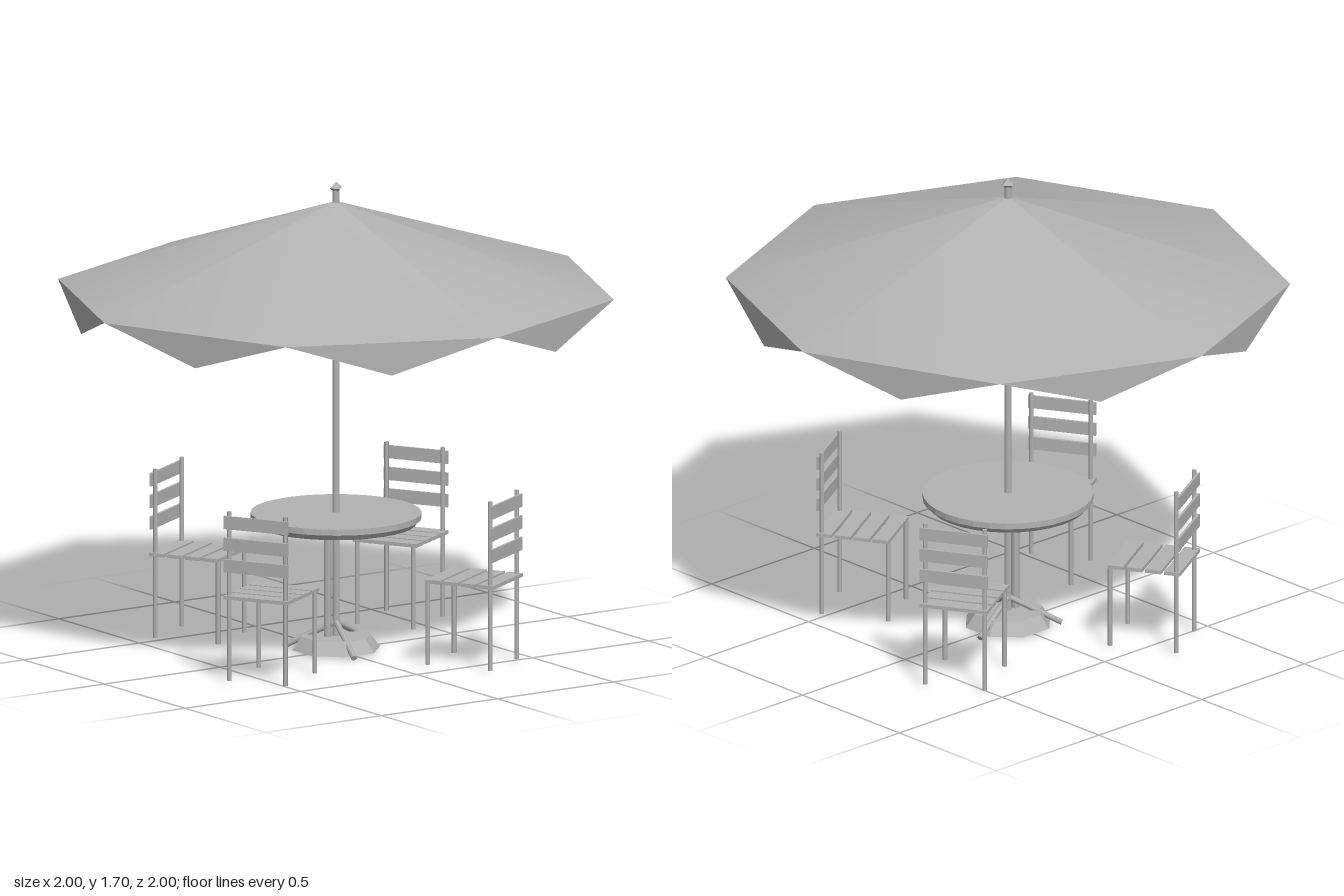
import * as THREE from 'three';

const grey = new THREE.MeshStandardMaterial({ color: 0xb3b3b3 });
grey.name = 'light grey';
const greyCloth = new THREE.MeshStandardMaterial({ color: 0xb3b3b3, side: THREE.DoubleSide });
greyCloth.name = 'light grey cloth';

function add(parent, name, geometry, x = 0, y = 0, z = 0, material = grey) {
  const mesh = new THREE.Mesh(geometry, material);
  mesh.name = name;
  mesh.position.set(x, y, z);
  parent.add(mesh);
  return mesh;
}

function flat(geometry) {
  const g = geometry.toNonIndexed();
  g.computeVertexNormals();
  return g;
}

// Straight tube between two points
function bar(parent, name, from, to, radius, sides = 6) {
  const dir = to.clone().sub(from);
  const mesh = add(parent, name, new THREE.CylinderGeometry(radius, radius, dir.length(), sides));
  mesh.position.copy(from).addScaledVector(dir, 0.5);
  mesh.quaternion.setFromUnitVectors(new THREE.Vector3(0, 1, 0), dir.normalize());
  return mesh;
}

const polar = (r, angle, y) => new THREE.Vector3(r * Math.cos(angle), y, r * Math.sin(angle));

function createUmbrella() {
  const g = new THREE.Group();
  g.name = 'umbrella';
  // Eight-sided canopy with corners on the axes
  add(g, 'canopy', new THREE.ConeGeometry(1, 0.32, 8, 1, true), 0, 1.47, 0, greyCloth);

  const valance = [];
  for (let i = 0; i < 8; i++) {
    const a = (i * Math.PI) / 4;
    const p = polar(1, a, 1.31);
    const q = polar(1, a + Math.PI / 4, 1.31);
    const tip = p.clone().lerp(q, 0.5).setY(1.19);
    valance.push(...p.toArray(), ...q.toArray(), ...tip.toArray());
    bar(g, 'rib', new THREE.Vector3(0, 1.624, 0), polar(0.99, a, 1.309), 0.004, 4);
  }
  // Hanging triangular flaps
  const flaps = new THREE.BufferGeometry();
  flaps.setAttribute('position', new THREE.Float32BufferAttribute(valance, 3));
  flaps.computeVertexNormals();
  add(g, 'valance', flaps, 0, 0, 0, greyCloth);

  add(g, 'pole', new THREE.CylinderGeometry(0.013, 0.013, 1.62, 8), 0, 0.86, 0);
  const finial = add(g, 'finial', new THREE.OctahedronGeometry(0.025), 0, 1.678, 0);
  finial.scale.set(1.05, 0.9, 1.05);

  // Weighted foot
  add(g, 'base', flat(new THREE.CylinderGeometry(0.125, 0.16, 0.047, 8, 1, false, Math.PI / 8)), 0, 0.034, 0);
  return g;
}

function createTable() {
  const g = new THREE.Group();
  g.name = 'table';
  // Top disc with a narrower lip and recessed underside
  add(g, 'tableTop', flat(new THREE.CylinderGeometry(0.303, 0.303, 0.022, 32)), 0, 0.493, 0);
  const lip = [[0.27, 0.482], [0.27, 0.462], [0.283, 0.462], [0.298, 0.482]]
    .map(([r, y]) => new THREE.Vector2(r, y));
  add(g, 'tableLip', flat(new THREE.LatheGeometry(lip, 32)), 0, 0, 0, greyCloth);

  add(g, 'pedestal', new THREE.CylinderGeometry(0.014, 0.014, 0.43, 8), -0.036, 0.267, 0);
  // Three splayed feet
  for (let i = 0; i < 3; i++) {
    const a = -Math.PI / 12 + (i * Math.PI * 2) / 3;
    bar(g, 'tripodFoot', polar(0, a, 0.108), polar(0.19, a, 0.012), 0.011);
  }
  return g;
}

// Chair faces the table, backrest on the outside (+z before turning)
function createChair() {
  const g = new THREE.Group();
  g.name = 'chair';
  for (const x of [-0.11, 0.11]) {
    add(g, 'frontLeg', new THREE.CylinderGeometry(0.0085, 0.0085, 0.297, 8), x, 0.1585, 0.41);
    add(g, 'backPost', new THREE.CylinderGeometry(0.0085, 0.0085, 0.612, 8), x, 0.316, 0.655);
  }
  for (let i = 0; i < 4; i++) {
    add(g, 'seatSlat', new THREE.BoxGeometry(0.25, 0.013, 0.058), 0, 0.313, 0.434 + i * 0.07);
  }
  for (const y of [0.427, 0.505, 0.584]) {
    add(g, 'backSlat', new THREE.BoxGeometry(0.25, 0.047, 0.009), 0, y, 0.667);
  }
  return g;
}

export function createModel() {
  const model = new THREE.Group();
  model.name = 'patioSet';
  model.add(createUmbrella(), createTable());
  for (let i = 0; i < 4; i++) {
    const chair = createChair();
    chair.rotation.y = Math.PI / 6 + (i * Math.PI) / 2;
    model.add(chair);
  }
  return model;
}
